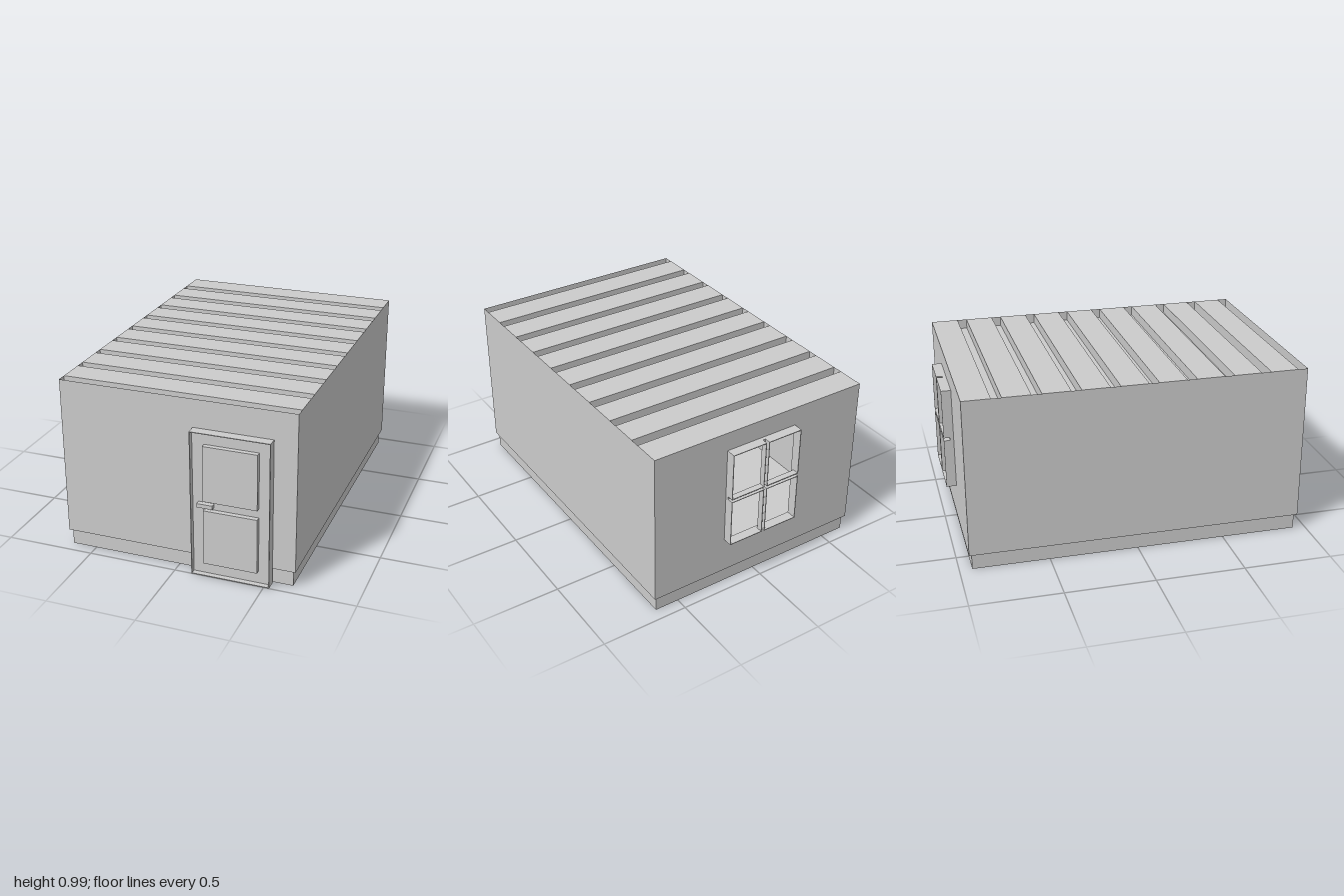
import * as THREE from 'three';

const mat = new THREE.MeshStandardMaterial({ color: 0xcccccc, flatShading: true, side: THREE.DoubleSide });

const HX = 0.655, HZ = 0.945;     // half width and half depth of the walls
const FLOOR = 0.09, TOP = 0.985;  // wall bottom and top
const THIN = 0.004;               // thickness of sheet parts

function add(parent, name, geometry) {
  const mesh = new THREE.Mesh(geometry, mat);
  mesh.name = name;
  parent.add(mesh);
  return mesh;
}

// Box given by its limits along each axis
function box(parent, name, x0, x1, y0, y1, z0, z1) {
  const mesh = add(parent, name, new THREE.BoxGeometry(x1 - x0, y1 - y0, z1 - z0));
  mesh.position.set((x0 + x1) / 2, (y0 + y1) / 2, (z0 + z1) / 2);
  return mesh;
}

function rect(Type, x0, x1, y0, y1) {
  return new Type([[x0, y0], [x1, y0], [x1, y1], [x0, y1]].map(p => new THREE.Vector2(...p)));
}

// Thin rectangular tube running along z
function ring(parent, name, x0, x1, y0, y1, z0, z1) {
  const shape = rect(THREE.Shape, x0, x1, y0, y1);
  shape.holes.push(rect(THREE.Path, x0 + THIN, x1 - THIN, y0 + THIN, y1 - THIN));
  const geometry = new THREE.ExtrudeGeometry(shape, { depth: z1 - z0, bevelEnabled: false });
  geometry.translate(0, 0, z0);
  return add(parent, name, geometry);
}

// Corrugated sheet: wide raised bands with narrow grooves between them
function roofGeometry() {
  const pitch = (2 * HZ) / 9, band = 0.155, low = TOP - 0.055;
  const profile = [];
  for (let i = 0; i < 9; i++) {
    const z = -HZ + i * pitch;
    profile.push([z, TOP], [z + band, TOP], [z + band, low], [z + pitch, low]);
  }
  const pos = [];
  for (let i = 0; i + 1 < profile.length; i++) {
    const [za, ya] = profile[i], [zb, yb] = profile[i + 1];
    pos.push(-HX, ya, za, -HX, yb, zb, HX, yb, zb);
    pos.push(-HX, ya, za, HX, yb, zb, HX, ya, za);
  }
  const geometry = new THREE.BufferGeometry();
  geometry.setAttribute('position', new THREE.Float32BufferAttribute(pos, 3));
  geometry.computeVertexNormals();
  return geometry;
}

export function createModel() {
  const model = new THREE.Group();
  model.name = 'shed';

  // Plinth and floor
  box(model, 'plinth', -0.64, 0.64, 0, FLOOR, -0.93, 0.93);
  box(model, 'floor', -HX, HX, FLOOR, FLOOR + THIN, -HZ, HZ);

  // Walls, the back one with the window opening
  const win = { x0: -0.22, x1: 0.215, y0: 0.3, y1: 0.877 };
  for (const s of [-1, 1]) {
    const wall = add(model, s > 0 ? 'leftWall' : 'rightWall', new THREE.PlaneGeometry(2 * HZ, TOP - FLOOR));
    wall.rotation.y = s * Math.PI / 2;
    wall.position.set(s * HX, (TOP + FLOOR) / 2, 0);
  }
  const front = rect(THREE.Shape, -HX, HX, FLOOR, TOP);
  add(model, 'frontWall', new THREE.ShapeGeometry(front)).position.z = HZ;
  const back = rect(THREE.Shape, -HX, HX, FLOOR, TOP);
  back.holes.push(rect(THREE.Path, win.x0, win.x1, win.y0, win.y1));
  const backGeometry = new THREE.ShapeGeometry(back);
  backGeometry.rotateY(Math.PI);
  const backWall = add(model, 'backWall', backGeometry);
  backWall.scale.x = -1; // keep the opening on its own side
  backWall.position.z = -HZ;

  add(model, 'corrugatedRoof', roofGeometry());

  // Window: outer frame, recessed cross and four projecting panes
  const window = new THREE.Group();
  window.name = 'window';
  model.add(window);
  const cx = -0.002, cy = 0.59, gap = 0.008, inner = -0.965;
  ring(window, 'windowFrame', win.x0, win.x1, win.y0, win.y1, inner, -HZ);
  box(window, 'uprightBar', cx - gap, cx + gap, win.y0, win.y1, inner, inner + THIN);
  box(window, 'crossBar', win.x0, win.x1, cy - gap, cy + gap, inner, inner + THIN);
  for (const [x0, x1] of [[win.x0, cx - gap], [cx + gap, win.x1]])
    for (const [y0, y1] of [[win.y0, cy - gap], [cy + gap, win.y1]])
      ring(window, 'paneFrame', x0, x1, y0, y1, -1, inner);

  // Door: leaf set back in a thin frame, with raised panels and a handle
  const door = new THREE.Group();
  door.name = 'door';
  model.add(door);
  const x0 = 0.095, x1 = 0.53, h = 0.828, leaf = 0.97;
  box(door, 'doorLeaf', x0, x1, 0, h, HZ, leaf);
  ring(door, 'doorFrame', x0, x1, 0, h, leaf, 1);
  for (const y of [0.075, 0.442])
    box(door, 'doorPanel', 0.165, 0.462, y, y + 0.314, leaf, 0.998);
  box(door, 'doorHandle', 0.13, 0.217, 0.403, 0.425, leaf, 0.998);

  return model;
}
